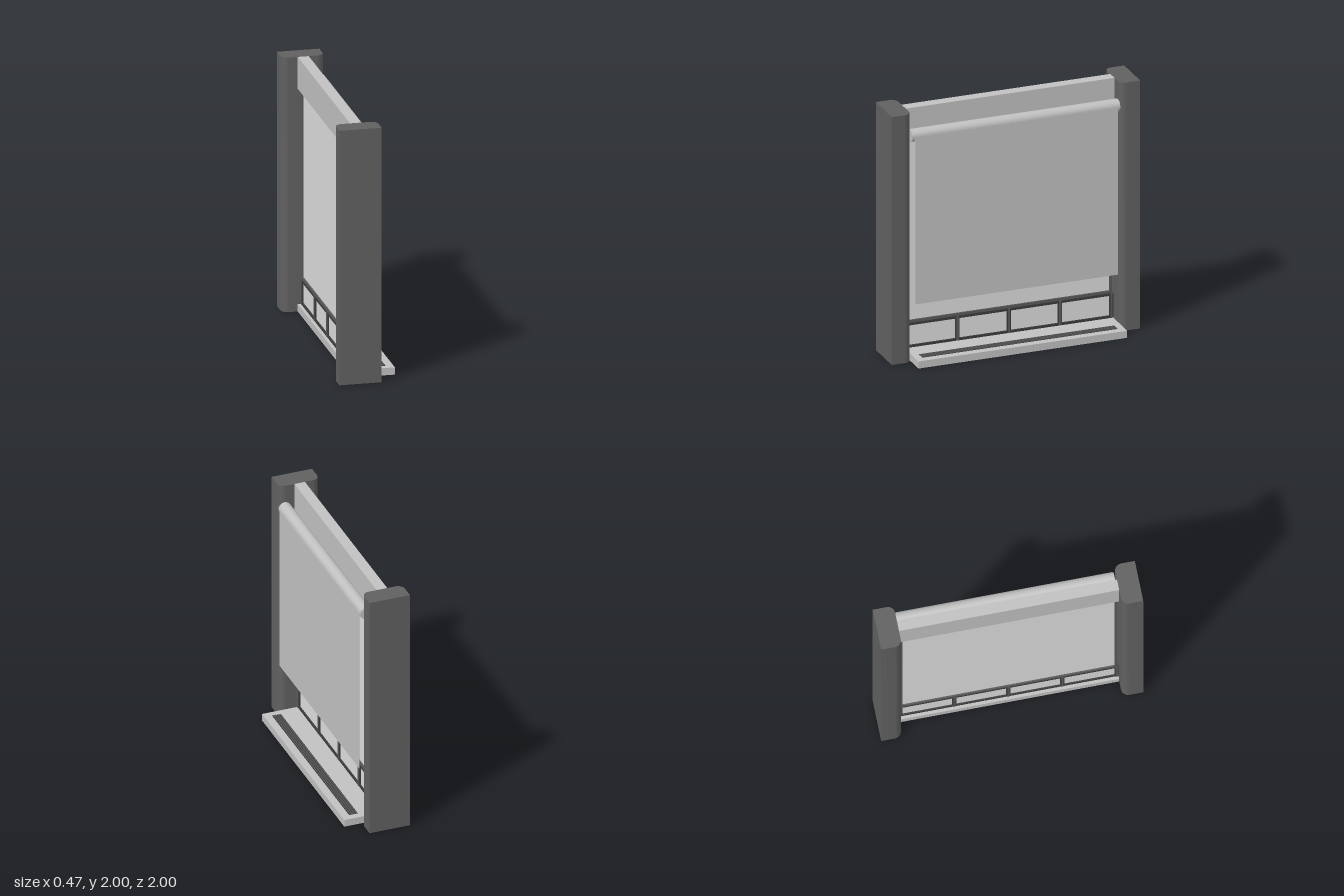
import * as THREE from 'three';
import { toCreasedNormals } from 'three/addons/utils/BufferGeometryUtils.js';

const material = (name, color) => {
  const m = new THREE.MeshStandardMaterial({ color });
  m.name = name;
  return m;
};

export function createModel() {
  const model = new THREE.Group();
  model.name = 'windowWithRollerBlind';
  const wall = material('dark grey', 0x606060);
  const light = material('light grey', 0xc0c0c0);
  const pane = material('pale pane grey', 0xdcdcdc);
  const frame = material('frame grey', 0x5a5a5a);
  const grilleDark = material('grille charcoal', 0x3c3c3c);

  const add = (name, geometry, mat, parent = model) => {
    const mesh = new THREE.Mesh(geometry, mat);
    mesh.name = name;
    parent.add(mesh);
    return mesh;
  };
  // Box given by its limits on each axis
  const box = (name, [x0, x1], [y0, y1], [z0, z1], mat, parent) => {
    const mesh = add(name, new THREE.BoxGeometry(x1 - x0, y1 - y0, z1 - z0), mat, parent);
    mesh.position.set((x0 + x1) / 2, (y0 + y1) / 2, (z0 + z1) / 2);
    return mesh;
  };

  // Side columns: two rounded inner corners, flat outer face
  const r = 0.055, xa = -0.235, xb = 0.09, inner = 0.84;
  const section = new THREE.Shape();
  section.moveTo(xa, -1);
  section.lineTo(xb, -1);
  section.lineTo(xb, -inner - r);
  section.absarc(xb - r, -inner - r, r, 0, Math.PI / 2, false);
  section.lineTo(xa + r, -inner);
  section.absarc(xa + r, -inner - r, r, Math.PI / 2, Math.PI, false);
  const columnGeometry = toCreasedNormals(
    new THREE.ExtrudeGeometry(section, { depth: 2, bevelEnabled: false, curveSegments: 10 }), 0.6);
  columnGeometry.rotateX(-Math.PI / 2);
  add('columnLeft', columnGeometry, wall);
  const mirrored = columnGeometry.clone();
  mirrored.rotateY(Math.PI);
  mirrored.translate(xa + xb, 0, 0);
  add('columnRight', mirrored, wall);

  // Header and sill
  box('header', [-0.115, -0.03], [1.75, 2], [-0.84, 0.84], light);
  box('sill', [-0.115, 0.23], [0, 0.057], [-0.84, 0.84], light);

  // Sill grille: dark bed with raised slats
  const grille = new THREE.Group();
  grille.name = 'sillGrille';
  model.add(grille);
  box('grilleBed', [0.1, 0.17], [0.055, 0.059], [-0.785, 0.785], grilleDark, grille);
  for (let i = 0; i < 4; i++) {
    const x = 0.109 + i * 0.017;
    box('grilleSlat', [x - 0.003, x + 0.003], [0.058, 0.062], [-0.785, 0.785], frame, grille);
  }

  // Large upper pane in its thin frame
  const upper = new THREE.Group();
  upper.name = 'upperWindow';
  model.add(upper);
  box('upperPane', [-0.078, -0.066], [0.27, 1.755], [-0.815, 0.815], pane, upper);
  for (const s of [-1, 1]) {
    const z = s * 0.82;
    box('upperStile', [-0.09, -0.054], [0.26, 1.755], [z - 0.01, z + 0.01], frame, upper);
  }
  box('upperBottomRail', [-0.09, -0.054], [0.256, 0.278], [-0.83, 0.83], frame, upper);

  // Row of four small panes below, with stepped frame bars
  const lower = new THREE.Group();
  lower.name = 'lowerWindows';
  model.add(lower);
  box('lowerPanes', [-0.078, -0.066], [0.07, 0.25], [-0.83, 0.83], pane, lower);
  for (let i = 0; i < 5; i++) {
    const z = (i - 2) * 0.4125;
    box('lowerMullion', [-0.09, -0.054], [0.06, 0.256], [z - 0.015, z + 0.015], grilleDark, lower);
    box('mullionCap', [-0.095, -0.049], [0.06, 0.256], [z - 0.008, z + 0.008], frame, lower);
  }
  for (const y of [0.066, 0.246]) {
    box('lowerRail', [-0.09, -0.054], [y - 0.01, y + 0.01], [-0.838, 0.838], grilleDark, lower);
  }

  // Roller blind: tube, end caps and hanging cloth
  const blind = new THREE.Group();
  blind.name = 'rollerBlind';
  model.add(blind);
  const tube = add('blindTube', new THREE.CylinderGeometry(0.05, 0.05, 1.65, 32), light, blind);
  tube.rotation.x = Math.PI / 2;
  tube.position.set(0.05, 1.812, 0);
  for (const s of [-1, 1]) {
    const cap = add('blindEndCap', new THREE.CylinderGeometry(0.048, 0.048, 0.012, 32), light, blind);
    cap.rotation.x = Math.PI / 2;
    cap.position.set(0.05, 1.812, s * 0.831);
  }
  box('blindCloth', [0.097, 0.101], [0.465, 1.812], [-0.815, 0.815], light, blind);

  return model;
}
